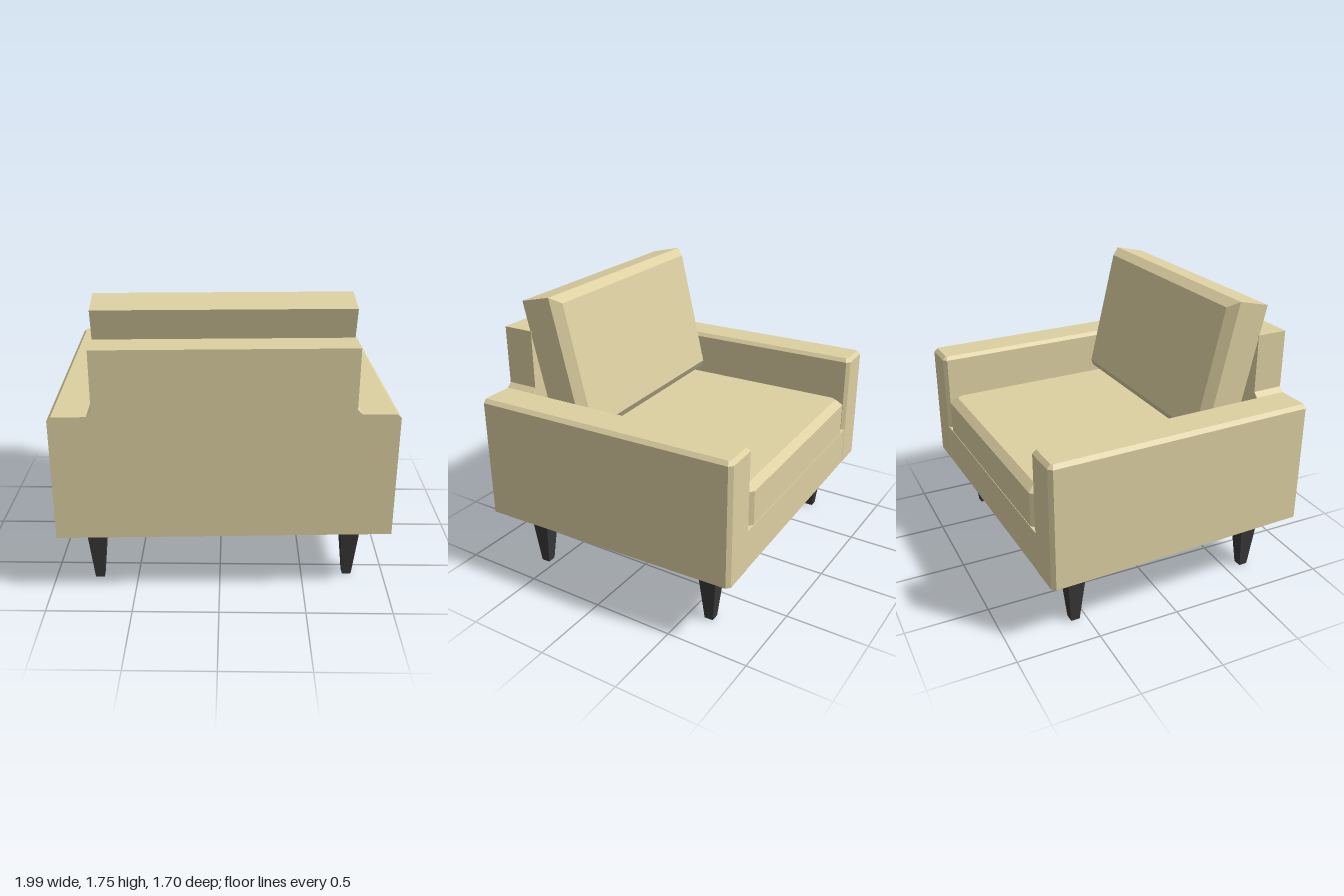
import * as THREE from 'three';

// Horizontal outline at height y; c clips the two corners on the seating side (-z)
function outline(y, x0, x1, z0, z1, c = 0) {
  const pts = c
    ? [[x0, z1], [x1, z1], [x1, z0 + c], [x1 - c, z0], [x0 + c, z0], [x0, z0 + c]]
    : [[x0, z1], [x1, z1], [x1, z0], [x0, z0]];
  return pts.map(([x, z]) => [x, y, z]);
}

// Joins outlines from bottom to top into a closed flat-faced solid
function loft(sections) {
  const pos = [];
  const tri = (...p) => p.forEach((v) => pos.push(...v));
  const n = sections[0].length;
  for (let s = 0; s < sections.length - 1; s++) {
    const a = sections[s], b = sections[s + 1];
    for (let i = 0; i < n; i++) {
      const j = (i + 1) % n;
      tri(a[i], a[j], b[j]);
      tri(a[i], b[j], b[i]);
    }
  }
  const lo = sections[0], hi = sections[sections.length - 1];
  for (let i = 1; i < n - 1; i++) {
    tri(lo[0], lo[i + 1], lo[i]);
    tri(hi[0], hi[i], hi[i + 1]);
  }
  const g = new THREE.BufferGeometry();
  g.setAttribute('position', new THREE.Float32BufferAttribute(pos, 3));
  g.computeVertexNormals();
  return g;
}

export function createModel() {
  const group = new THREE.Group();
  group.name = 'armchair';
  const fabric = new THREE.MeshStandardMaterial({ color: 0xdccfa1 });
  const wood = new THREE.MeshStandardMaterial({ color: 0x383838 });
  const add = (name, geometry, material = fabric) => {
    const mesh = new THREE.Mesh(geometry, material);
    mesh.name = name;
    group.add(mesh);
    return mesh;
  };

  const floor = 0.395, armTop = 1.15, halfW = 0.967, front = -0.815, back = 0.815;
  const panel = 0.19, bevel = 0.022;

  // Back panel: stepped silhouette that also closes the ends of the arms
  const half = [
    [halfW, floor], [halfW, armTop - bevel], [halfW - bevel, armTop],
    [0.752, armTop], [0.724, armTop + 0.028], [0.724, 1.53],
  ];
  const mirrored = half.map(([x, y]) => [-x, y]).reverse();
  const shape = new THREE.Shape([...half, ...mirrored].map(([x, y]) => new THREE.Vector2(x, y)));
  const backGeo = new THREE.ExtrudeGeometry(shape, { depth: panel, bevelEnabled: false });
  add('backPanel', backGeo.translate(0, 0, back - panel));

  // Seat base between the arms
  const base = new THREE.BoxGeometry(1.5, 0.245, back - panel - front - 0.002);
  base.translate(0, floor + 0.1225, (back - panel + front + 0.002) / 2);
  add('seatBase', base);

  // Arms: bevelled along the top and the front corners
  for (const [name, x0, x1] of [['leftArm', 0.732, halfW], ['rightArm', -halfW, -0.732]]) {
    const z1 = back - panel;
    add(name, loft([
      outline(floor, x0, x1, front, z1, bevel),
      outline(armTop - bevel, x0, x1, front, z1, bevel),
      outline(armTop, x0 + bevel, x1 - bevel, front + bevel, z1, 0.01),
    ]));
  }

  // Seat cushion
  const c = 0.045, sw = 0.718, sf = -0.81, sb = 0.61;
  add('seatCushion', loft([
    outline(0.64, -sw, sw, sf, sb, c),
    outline(0.85, -sw, sw, sf, sb, c),
    outline(0.888, -sw + c, sw - c, sf + c, sb, 0.03),
  ]));

  // Back cushion: lofted through its thickness, then stood up and reclined
  const len = 0.86, thick = 0.245, edge = 0.05;
  const cushion = add('backCushion', loft([
    outline(0, -0.72, 0.72, -len, 0),
    outline(thick - edge, -0.72, 0.72, -len, 0),
    outline(thick, -0.72 + edge, 0.72 - edge, -len + edge, -edge),
  ]));
  cushion.position.set(0, 1.705, 0.673);
  cushion.rotation.x = -Math.PI / 2 + 0.233;

  // Tapered square legs
  const legGeo = loft([
    outline(0, -0.027, 0.027, -0.027, 0.027),
    outline(floor + 0.002, -0.065, 0.065, -0.065, 0.065),
  ]);
  for (const x of [-1, 1]) {
    for (const z of [-1, 1]) {
      const name = (z < 0 ? 'front' : 'back') + (x > 0 ? 'Left' : 'Right') + 'Leg';
      add(name, legGeo, wood).position.set(x * 0.758, 0, z * 0.598);
    }
  }

  // The chair stands slightly turned
  group.rotation.y = 0.037;
  return group;
}
